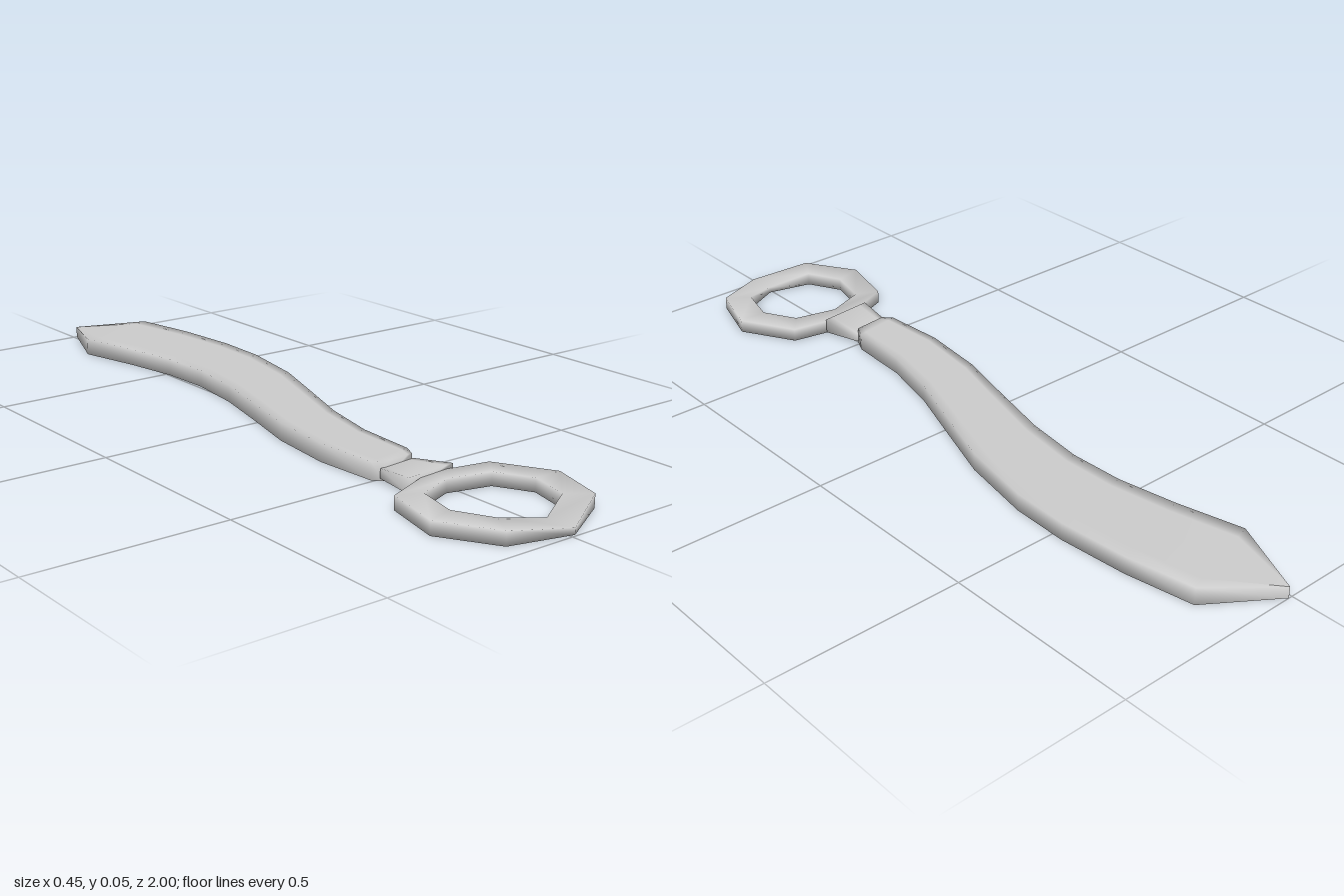
import * as THREE from 'three';

// Skin over cross-sections of equal point count, smooth shaded
function loft(name, sections, closed) {
  const n = sections[0].length, m = sections.length, index = [];
  for (let i = 0; i < (closed ? m : m - 1); i++) {
    for (let j = 0; j < n; j++) {
      const k = (j + 1) % n, e = ((i + 1) % m) * n;
      const a = i * n + j, b = i * n + k, c = e + k, d = e + j;
      index.push(a, b, c, a, c, d);
    }
  }
  if (!closed) {
    const e = (m - 1) * n;
    for (let j = 1; j < n - 1; j++) index.push(0, j + 1, j, e, e + j, e + j + 1);
  }
  const geo = new THREE.BufferGeometry();
  geo.setAttribute('position', new THREE.Float32BufferAttribute(sections.flat(2), 3));
  geo.setIndex(index);
  geo.computeVertexNormals();
  const mesh = new THREE.Mesh(geo, new THREE.MeshStandardMaterial({ color: 0xcccccc }));
  mesh.name = name;
  return mesh;
}

// Flat cross-section between a left and a right edge point, with inset lines on both faces
function flatSection([lx, lz, rx, rz], bottom, top) {
  const at = (t, y) => [lx + (rx - lx) * t, y, lz + (rz - lz) * t];
  return [at(0, bottom), at(0.15, bottom), at(0.85, bottom), at(1, bottom),
    at(1, top), at(0.85, top), at(0.15, top), at(0, top)];
}

export function createModel() {
  const model = new THREE.Group();
  model.name = 'curvedKnife';

  // Curved blade and grip: left x, z and right x, z of each station, from tip to grip end
  const stations = [
    [0.01, -1, 0.01, -1], [-0.065, -0.81, 0.178, -0.885], [-0.024, -0.64, 0.21, -0.71],
    [0.003, -0.487, 0.225, -0.53], [0.008, -0.344, 0.22, -0.38], [-0.013, -0.185, 0.183, -0.185],
    [-0.055, -0.016, 0.124, -0.016], [-0.098, 0.148, 0.066, 0.148], [-0.119, 0.328, 0.029, 0.307],
    [-0.108, 0.492, 0.019, 0.471], [-0.087, 0.515, 0.003, 0.505],
  ];
  model.add(loft('blade', stations.map((s, i) => flatSection(s, 0, i === 0 ? 0.03 : 0.045))));

  // Flared collar between grip and ring
  model.add(loft('collar', [
    flatSection([-0.098, 0.513, 0.008, 0.503], 0.008, 0.032),
    flatSection([-0.108, 0.62, 0.035, 0.607], 0.004, 0.043),
  ]));

  // Eight-sided pommel ring: outer x, z and inner x, z, dipping at the end
  const corners = [
    [0.013, 0.995, 0.008, 0.92], [-0.145, 0.955, -0.108, 0.89], [-0.228, 0.82, -0.155, 0.8],
    [-0.19, 0.665, -0.13, 0.693], [-0.03, 0.6, -0.03, 0.656], [0.125, 0.63, 0.082, 0.683],
    [0.205, 0.77, 0.13, 0.77], [0.16, 0.915, 0.103, 0.873],
  ];
  model.add(loft('ring', corners.map(([ox, oz, ix, iz], i) => {
    const top = i === 0 ? 0.016 : 0.034;
    return [[ix, 0, iz], [ox, 0, oz], [ox, top, oz], [ix, top, iz]];
  }), true));

  return model;
}
